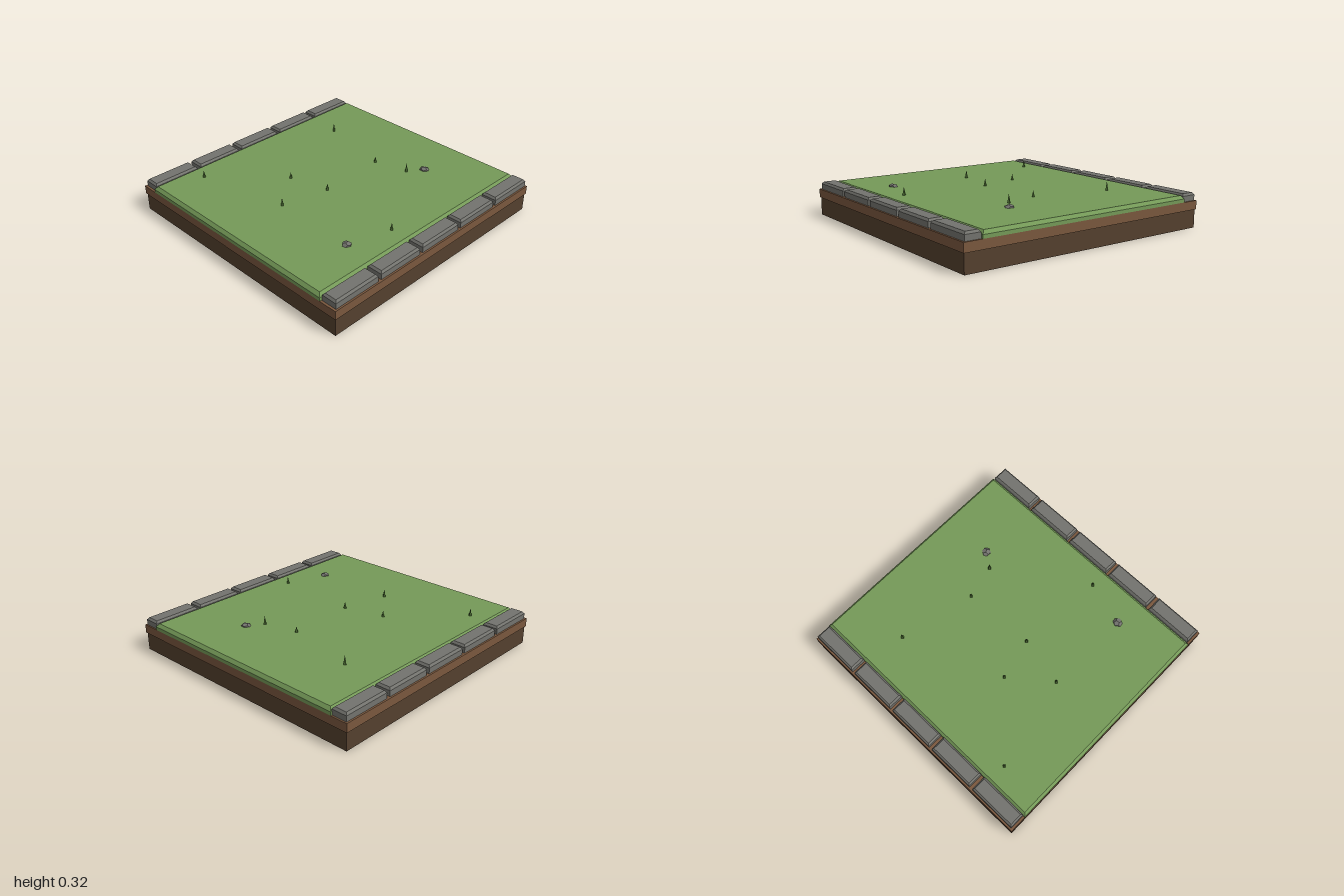
import * as THREE from 'three';

const material = (color) => new THREE.MeshStandardMaterial({ color, flatShading: true });

// Box standing on y = 0 whose top edges are chamfered
function chamferedBox(w, h, d, inset, drop) {
  const g = new THREE.BoxGeometry(w, h, d, 1, 2, 1);
  const p = g.attributes.position;
  for (let i = 0; i < p.count; i++) {
    const level = Math.round((p.getY(i) / h + 0.5) * 2);
    p.setY(i, [0, h - drop, h][level]);
    if (level === 2) {
      p.setX(i, p.getX(i) - Math.sign(p.getX(i)) * inset);
      p.setZ(i, p.getZ(i) - Math.sign(p.getZ(i)) * inset);
    }
  }
  g.computeVertexNormals();
  return g;
}

export function createModel() {
  const model = new THREE.Group();
  model.name = 'grassPathTile';

  const lowerSoil = material(0x54402e);
  const upperSoil = material(0x7a583e);
  const grass = material(0x759a58);
  const blade = material(0x47682f);
  const stone = material(0x73736e);

  function add(name, geometry, mat, x, y, z, parent = model) {
    const mesh = new THREE.Mesh(geometry, mat);
    mesh.name = name;
    mesh.position.set(x, y, z);
    parent.add(mesh);
    return mesh;
  }

  // Ground layers
  add('lowerSoil', new THREE.BoxGeometry(1.985, 0.135, 1.985), lowerSoil, 0, 0.0675, 0);
  add('upperSoil', new THREE.BoxGeometry(2, 0.065, 2), upperSoil, 0, 0.1675, 0);
  add('grassSlab', chamferedBox(1.735, 0.05, 2, 0.02, 0.024), grass, -0.003, 0.2, 0);

  // Kerb stones along both sides
  const kerbGeometry = chamferedBox(0.118, 0.058, 0.372, 0.013, 0.016);
  for (const side of [-1, 1]) {
    const kerb = new THREE.Group();
    kerb.name = side > 0 ? 'leftKerb' : 'rightKerb';
    model.add(kerb);
    for (let i = 0; i < 5; i++) {
      add('kerbStone', kerbGeometry, stone, side * 0.928, 0.2, (i - 2) * 0.4 - 0.003, kerb);
    }
  }

  // Grass blades: x, z, height
  const blades = [
    [-0.56, -0.535, 0.07], [0.02, -0.405, 0.046], [0.28, -0.468, 0.066], [-0.26, 0.212, 0.048],
    [0.05, 0.137, 0.054], [0.717, 0.186, 0.06], [-0.027, 0.505, 0.062], [-0.722, 0.66, 0.058],
  ];
  for (const [x, z, h] of blades) {
    add('grassBlade', new THREE.ConeGeometry(0.014, h, 4), blade, x, 0.249 + h / 2, z);
  }

  // Pebbles half sunk into the grass
  for (const [x, z, turn] of [[0.36, -0.58, 0.5], [0.622, 0.518, 1.7]]) {
    const pebble = add('pebble', new THREE.DodecahedronGeometry(0.036, 0), stone, x, 0.25, z);
    pebble.scale.y = 0.6;
    pebble.rotation.y = turn;
  }

  return model;
}
